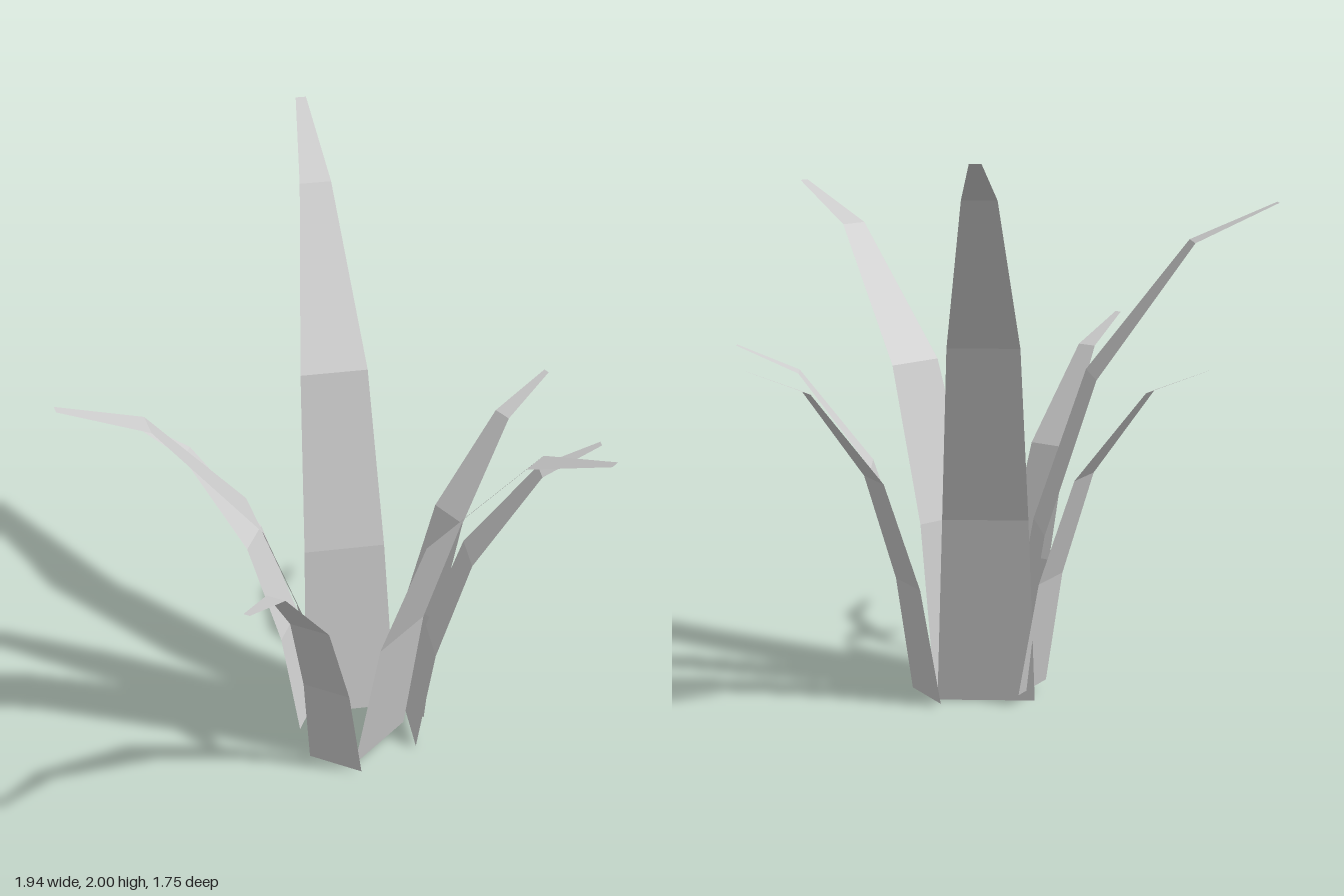
import * as THREE from 'three';

// Blade stations from root to tip: [outward reach, height, half width]
const STATIONS = [
  [0, 0, 0.145],
  [0.10, 0.58, 0.125],
  [0.28, 1.12, 0.103],
  [0.63, 1.58, 0.048],
  [0.93, 1.71, 0.016],
];

// Each leaf: name, root x, y, z, outward direction x, z, scale
const LEAVES = [
  ['leftLeaf', 0.04, 0, 0.003, 1, 0.005, 1],
  ['frontRightLeaf', -0.10, 0, 0.09, -0.546, 0.838, 1],
  ['tallBackRightLeaf', -0.16, 0, -0.075, -0.735, -0.675, 1.17],
  ['backLeftSmallLeaf', 0.086, 0.01, -0.125, 0.66, -0.75, 0.713],
  ['backSmallLeaf', -0.01, 0.01, -0.22, 0.195, -0.98, 0.713],
  ['rightSmallLeaf', -0.245, 0.038, 0.065, -0.94, 0.34, 0.697],
  ['frontSmallLeaf', -0.01, 0.01, 0.20, 0.25, 0.97, 0.713],
];

// Flat strip bent outward along +z and tapering to the tip
function bladeGeometry() {
  const geometry = new THREE.PlaneGeometry(2, 1, 1, STATIONS.length - 1);
  const pos = geometry.attributes.position;
  for (let i = 0; i < pos.count; i++) {
    const row = STATIONS.length - 1 - Math.floor(i / 2);
    const [reach, height, half] = STATIONS[row];
    pos.setXYZ(i, Math.sign(pos.getX(i)) * half, height, reach);
  }
  geometry.computeVertexNormals();
  return geometry;
}

export function createModel() {
  const plant = new THREE.Group();
  plant.name = 'plant';
  const material = new THREE.MeshStandardMaterial({
    color: 0xcccccc, flatShading: true, side: THREE.DoubleSide,
  });
  const blade = bladeGeometry();

  // Leaves fanned around the root
  for (const [name, x, y, z, dx, dz, scale] of LEAVES) {
    const leaf = new THREE.Mesh(blade, material);
    leaf.name = name;
    leaf.position.set(x, y, z);
    leaf.rotation.y = Math.atan2(dx, dz);
    leaf.scale.setScalar(scale);
    plant.add(leaf);
  }
  return plant;
}
